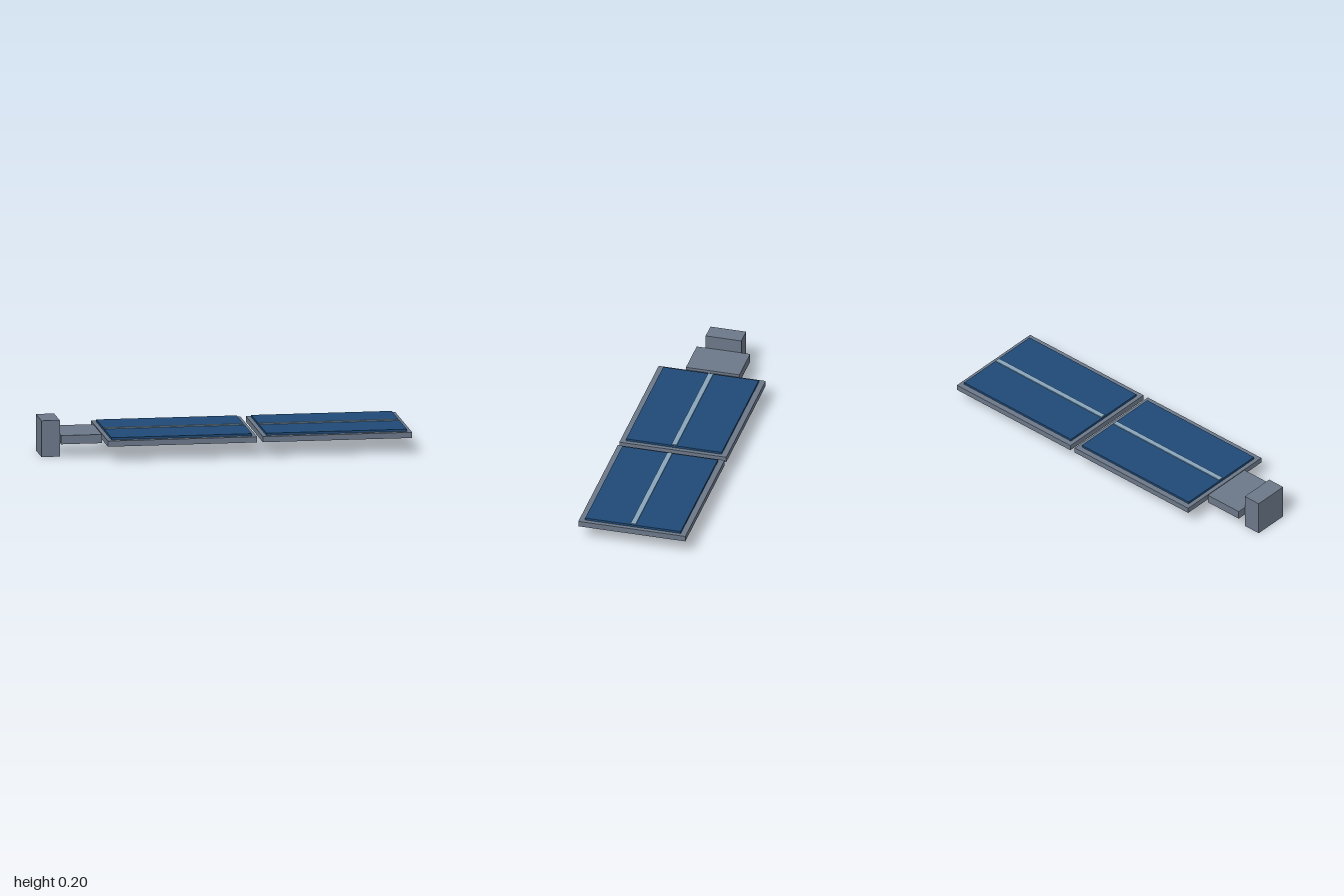
import * as THREE from 'three';

export function createModel() {
  const model = new THREE.Group();
  model.name = 'solarPanelWing';

  const material = (name, color) => {
    const m = new THREE.MeshStandardMaterial({ color });
    m.name = name;
    return m;
  };
  const metal = material('greyMetal', 0x6b7788);
  const cellBlue = material('cellBlue', 0x1f4976);
  const busSilver = material('paleBusbar', 0x86a5bc);

  // Box given by its x range, y range and full depth, centred on z
  const addBox = (parent, name, mat, [x0, x1], [y0, y1], depth) => {
    const mesh = new THREE.Mesh(new THREE.BoxGeometry(x1 - x0, y1 - y0, depth), mat);
    mesh.position.set((x0 + x1) / 2, (y0 + y1) / 2, 0);
    mesh.name = name;
    parent.add(mesh);
  };

  // Mounting block and hinge arm
  addBox(model, 'mountingBlock', metal, [-1, -0.9], [0, 0.2], 0.2);
  addBox(model, 'hingeArm', metal, [-0.9, -0.677], [0.077, 0.125], 0.3);

  // Two identical panels: frame, cell sheet and central busbar
  [-0.258, 0.591].forEach((x, i) => {
    const panel = new THREE.Group();
    panel.name = i === 0 ? 'innerPanel' : 'outerPanel';
    panel.position.x = x;
    addBox(panel, 'panelFrame', metal, [-0.409, 0.409], [0.085, 0.116], 0.6);
    addBox(panel, 'cellSheet', cellBlue, [-0.385, 0.385], [0.116, 0.128], 0.536);
    addBox(panel, 'busbar', busSilver, [-0.381, 0.381], [0.128, 0.133], 0.028);
    model.add(panel);
  });

  return model;
}
